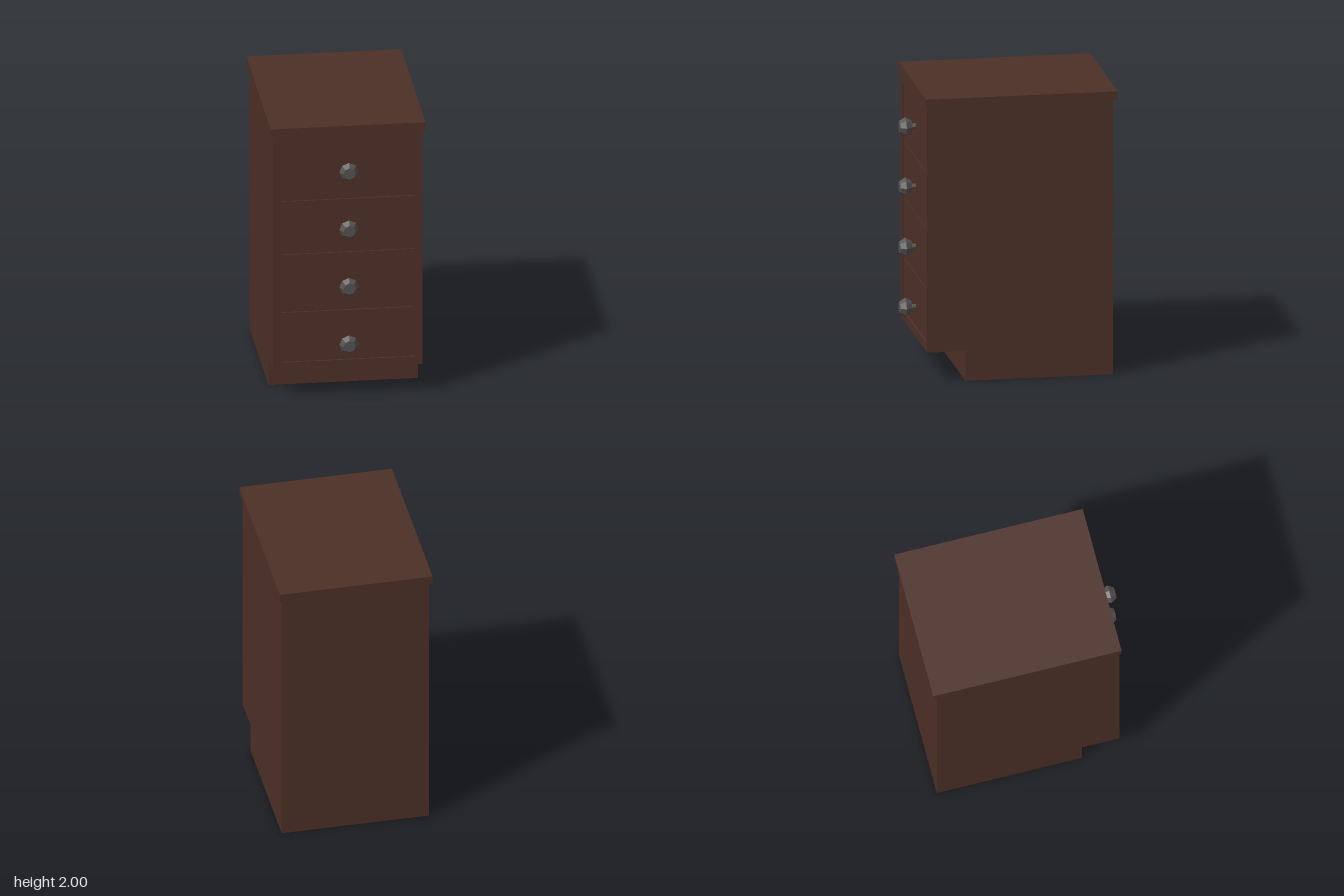
import * as THREE from 'three';

export function createModel() {
  const cabinet = new THREE.Group();
  cabinet.name = 'drawerCabinet';
  const wood = new THREE.MeshStandardMaterial({ color: 0x4d3027, flatShading: true });
  const metal = new THREE.MeshStandardMaterial({ color: 0x565151, flatShading: true });

  function add(name, geometry, material = wood, parent = cabinet) {
    const mesh = new THREE.Mesh(geometry, material);
    mesh.name = name;
    parent.add(mesh);
    return mesh;
  }
  // Box given by its lower and upper limits on each axis
  function box(name, [x0, x1], [y0, y1], [z0, z1], parent) {
    const geometry = new THREE.BoxGeometry(x1 - x0, y1 - y0, z1 - z0);
    geometry.translate((x0 + x1) / 2, (y0 + y1) / 2, (z0 + z1) / 2);
    return add(name, geometry, wood, parent);
  }
  const rectangle = (Type, x0, x1, y0, y1) => new Type([
    new THREE.Vector2(x0, y0), new THREE.Vector2(x1, y0),
    new THREE.Vector2(x1, y1), new THREE.Vector2(x0, y1),
  ]);

  const halfWidth = 0.515;
  const front = 0.61;      // face of the frame
  const recessBack = 0.585; // back of the drawer opening
  const drawerFace = 0.597;

  // Carcass: side outline with toe kick, extruded across the width
  const side = new THREE.Shape([
    [0.68, 0], [0.68, 1.94], [-recessBack, 1.94],
    [-recessBack, 0.21], [-0.345, 0.21], [-0.345, 0],
  ].map(([x, y]) => new THREE.Vector2(x, y)));
  const carcass = new THREE.ExtrudeGeometry(side, { depth: 2 * halfWidth, bevelEnabled: false });
  carcass.translate(0, 0, -halfWidth).rotateY(Math.PI / 2);
  add('carcass', carcass);

  // Front frame with one opening for all the drawers
  const frame = rectangle(THREE.Shape, -halfWidth, halfWidth, 0.21, 1.94);
  frame.holes.push(rectangle(THREE.Path, -0.46, 0.46, 0.27, 1.88));
  const frameGeometry = new THREE.ExtrudeGeometry(frame, { depth: front - recessBack, bevelEnabled: false });
  add('frontFrame', frameGeometry.translate(0, 0, recessBack));

  // Overhanging top
  box('topBoard', [-0.533, 0.533], [1.94, 2], [-0.71, 0.62]);

  // Faceted knob on a thin stem, pointing forward
  const knobProfile = [[0, 0.628], [0.042, 0.628], [0.067, 0.67], [0.042, 0.71], [0, 0.71]]
    .map(([r, z]) => new THREE.Vector2(r, z));
  const knobGeometry = new THREE.LatheGeometry(knobProfile, 8).rotateX(Math.PI / 2);
  const stemGeometry = new THREE.CylinderGeometry(0.02, 0.02, 0.05, 8)
    .rotateX(Math.PI / 2).translate(0, 0, 0.615);

  // Drawers, bottom to top, with narrow gaps between them
  const drawers = [[0.27, 0.632, 0.405], [0.641, 1.059, 0.83], [1.066, 1.452, 1.255], [1.461, 1.88, 1.68]];
  for (const [bottom, top, knobY] of drawers) {
    const drawer = new THREE.Group();
    drawer.name = 'drawer';
    cabinet.add(drawer);
    box('drawerFront', [-0.46, 0.46], [bottom, top], [recessBack - 0.02, drawerFace], drawer);
    add('knob', knobGeometry, metal, drawer).position.y = knobY;
    add('knobStem', stemGeometry, metal, drawer).position.y = knobY;
  }
  return cabinet;
}
